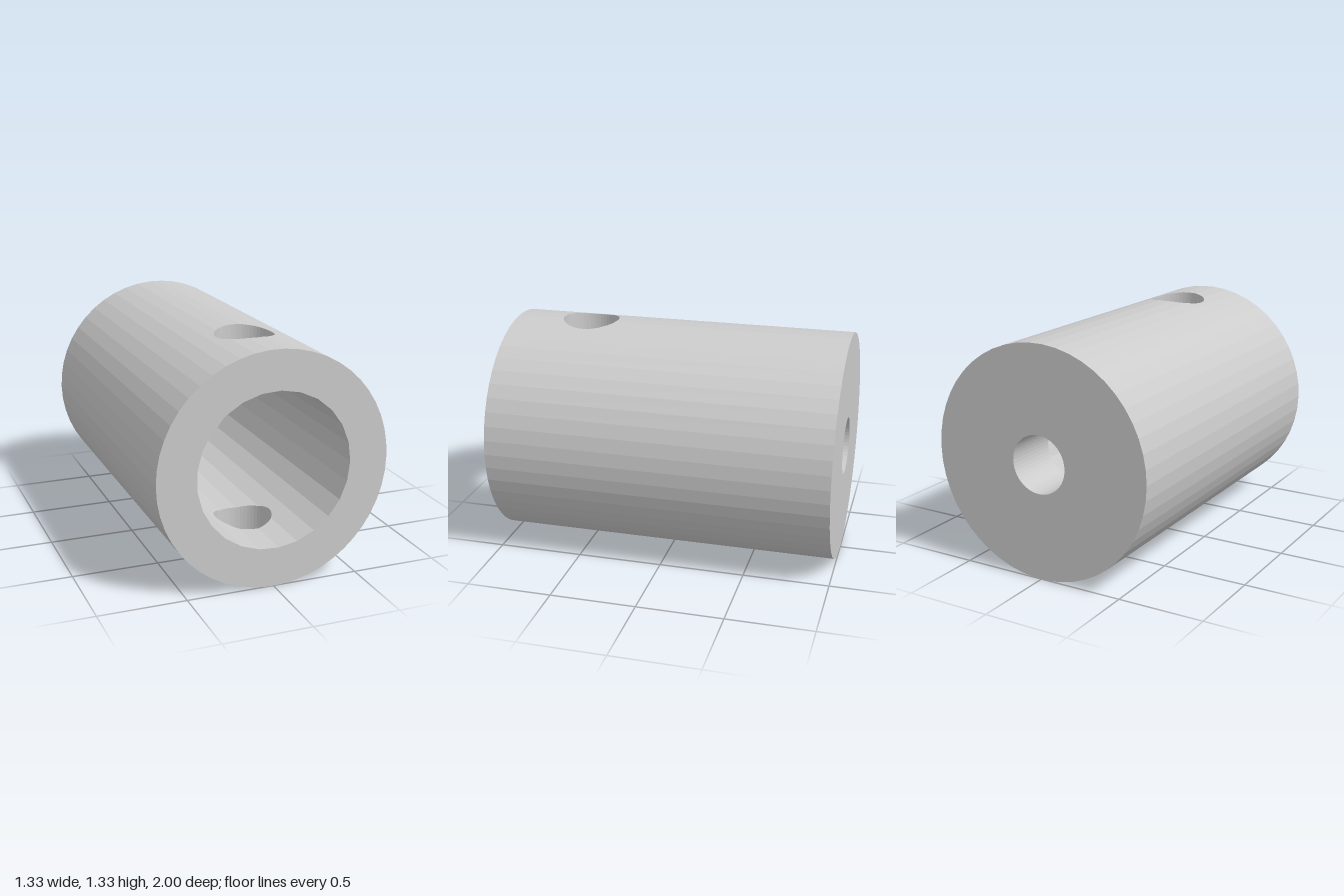
import * as THREE from 'three';

const R_OUT = 0.667, N_OUT = 50;      // outside of the sleeve
const R_BORE = 0.444, N_BORE = 25;    // wide bore, open at the front
const R_HOLE = 0.167, N_HOLE = 50;    // small axial hole and cross hole
const FRONT = 1, BACK = -1, FLOOR = -0.667, CROSS_Z = 0.556;

// Corners of a regular polygon, first corner on +x
const ring = (r, n) => Array.from({ length: n }, (_, k) => {
  const a = (k / n) * Math.PI * 2;
  return new THREE.Vector2(r * Math.cos(a), r * Math.sin(a));
});

// Upper half of the polygon, and its height at a given x
const upper = (r, n) => ring(r, n).slice(0, Math.floor(n / 2) + 1);
function heightAt(x, r, n) {
  const p = upper(r, n);
  for (let i = 0; i + 1 < p.length; i++) {
    if (x <= p[i].x + 1e-9 && x >= p[i + 1].x - 1e-9) {
      const t = (p[i].x - x) / (p[i].x - p[i + 1].x);
      return p[i].y + (p[i + 1].y - p[i].y) * t;
    }
  }
  return 0;
}

// Sorted x positions without repeats
const columns = (...lists) => lists.flat().map((p) => p.x).sort((a, b) => a - b)
  .filter((x, i, all) => i === 0 || x - all[i - 1] > 1e-6);

// Adds a quad whose front looks along the given direction
function addQuad(out, pts, facing) {
  const [a, b, c, d] = pts.map((p) => new THREE.Vector3(...p));
  const normal = c.clone().sub(a).cross(d.clone().sub(b));
  const q = normal.dot(new THREE.Vector3(...facing)) > 0 ? [a, b, c, a, c, d] : [a, c, b, a, d, c];
  q.forEach((p) => out.push(p.x, p.y, p.z));
}

function toGeometry(out) {
  const g = new THREE.BufferGeometry();
  g.setAttribute('position', new THREE.Float32BufferAttribute(out, 3));
  g.computeVertexNormals();
  return g;
}

// Faceted tube along z; sign 1 looks outward, -1 inward; drilled leaves the cross hole open
function wall(r, n, z0, z1, sign, drilled) {
  const out = [];
  const half = upper(r, n);
  const xs = drilled ? columns(half, upper(R_HOLE, N_HOLE)) : columns(half);
  for (let i = 0; i + 1 < xs.length; i++) {
    const [a, b] = [xs[i], xs[i + 1]], mid = (a + b) / 2;
    const ya = heightAt(a, r, n), yb = heightAt(b, r, n);
    const ha = heightAt(a, R_HOLE, N_HOLE), hb = heightAt(b, R_HOLE, N_HOLE);
    const spans = drilled && Math.abs(mid) < R_HOLE
      ? [[z0, z0, CROSS_Z - ha, CROSS_Z - hb], [CROSS_Z + ha, CROSS_Z + hb, z1, z1]]
      : [[z0, z0, z1, z1]];
    for (const s of [1, -1]) for (const [a0, b0, a1, b1] of spans) {
      addQuad(out, [[a, s * ya, a0], [b, s * yb, b0], [b, s * yb, b1], [a, s * ya, a1]],
        [sign * mid, sign * s * (ya + yb) / 2, 0]);
    }
  }
  // An odd number of sides ends in one upright facet at -x
  if (n % 2) {
    const { x, y } = half[half.length - 1];
    addQuad(out, [[x, y, z0], [x, -y, z0], [x, -y, z1], [x, y, z1]], [-sign, 0, 0]);
  }
  return toGeometry(out);
}

// Sides of the cross hole through the upper and lower wall
function crossHole() {
  const out = [];
  const xs = columns(upper(R_OUT, N_OUT), upper(R_BORE, N_BORE), upper(R_HOLE, N_HOLE))
    .filter((x) => Math.abs(x) <= R_HOLE + 1e-6);
  for (let i = 0; i + 1 < xs.length; i++) {
    const ends = [xs[i], xs[i + 1]].map((x) => ({
      x, h: heightAt(x, R_HOLE, N_HOLE),
      lo: heightAt(x, R_BORE, N_BORE), hi: heightAt(x, R_OUT, N_OUT),
    }));
    const [a, b] = ends;
    for (const s of [1, -1]) for (const t of [1, -1]) {
      addQuad(out, [
        [a.x, s * a.lo, CROSS_Z + t * a.h], [b.x, s * b.lo, CROSS_Z + t * b.h],
        [b.x, s * b.hi, CROSS_Z + t * b.h], [a.x, s * a.hi, CROSS_Z + t * a.h],
      ], [-(a.x + b.x) / 2, 0, -t * (a.h + b.h) / 2]);
    }
  }
  return toGeometry(out);
}

// Flat ring across the axis
function face(outer, inner, z, towardBack) {
  const shape = new THREE.Shape(outer);
  shape.holes.push(new THREE.Path(inner));
  const g = new THREE.ShapeGeometry(shape);
  if (towardBack) g.rotateY(Math.PI).scale(1, 1, 1);
  return g.translate(0, 0, z);
}

export function createModel() {
  const group = new THREE.Group();
  group.name = 'drilledSleeve';
  const material = new THREE.MeshStandardMaterial({ color: 0xcccccc, flatShading: true });
  const add = (name, geometry) => {
    const mesh = new THREE.Mesh(geometry, material);
    mesh.name = name;
    mesh.position.y = R_OUT * Math.cos(Math.PI / N_OUT);
    group.add(mesh);
  };
  const outer = ring(R_OUT, N_OUT), bore = ring(R_BORE, N_BORE), hole = ring(R_HOLE, N_HOLE);

  // Walls
  add('outerWall', wall(R_OUT, N_OUT, BACK, FRONT, 1, true));
  add('boreWall', wall(R_BORE, N_BORE, FLOOR, FRONT, -1, true));
  add('axialHole', wall(R_HOLE, N_HOLE, BACK, FLOOR, -1, false));
  add('crossHole', crossHole());

  // End faces and the floor of the bore
  add('frontFace', face(outer, bore, FRONT, false));
  add('boreFloor', face(bore, hole, FLOOR, false));
  add('backFace', face(outer, hole, BACK, true));
  return group;
}
